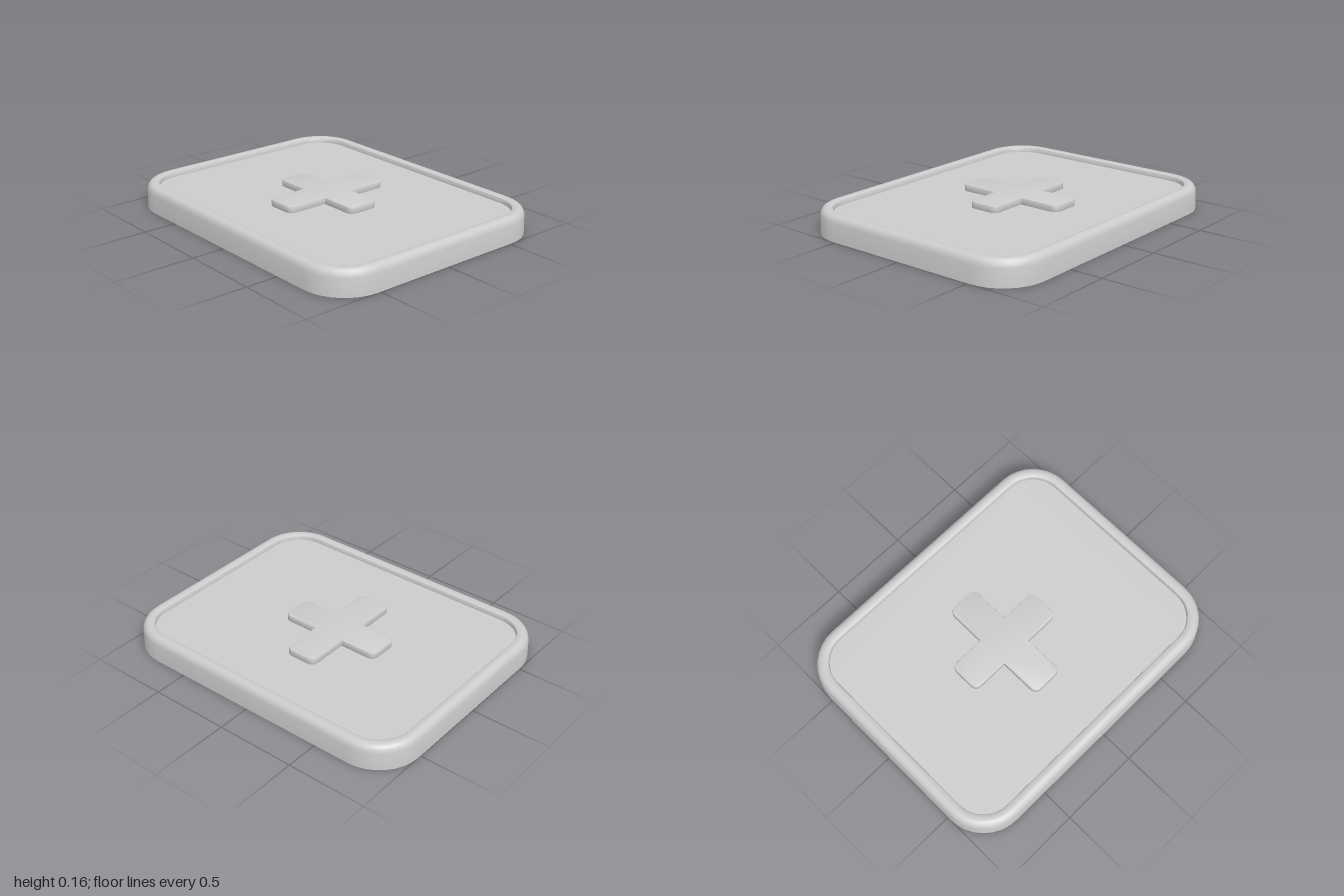
import * as THREE from 'three';
import { toCreasedNormals } from 'three/addons/utils/BufferGeometryUtils.js';

const HALF_X = 1, HALF_Z = 0.792, CORNER = 0.275, FLOOR_Y = 0.12, RIM = 0.08;

// Rounded-rectangle outline, shrunk by an inset, anticlockwise
function outline(inset, steps = 8) {
  const r = CORNER - inset, points = [];
  [[1, 1], [-1, 1], [-1, -1], [1, -1]].forEach(([sx, sy], corner) => {
    for (let i = 0; i <= steps; i++) {
      const a = (corner + i / steps) * Math.PI / 2;
      points.push(new THREE.Vector2(
        sx * (HALF_X - CORNER) + r * Math.cos(a),
        sy * (HALF_Z - CORNER) + r * Math.sin(a)));
    }
  });
  return points;
}

// Skin joining stacked outlines along an [inset, height] profile
function rimGeometry(profile) {
  const positions = [], indices = [];
  let n = 0;
  for (const [inset, y] of profile) {
    const ring = outline(inset);
    n = ring.length;
    ring.forEach(p => positions.push(p.x, y, -p.y));
  }
  for (let i = 0; i < profile.length - 1; i++) {
    for (let j = 0; j < n; j++) {
      const a = i * n + j, b = i * n + (j + 1) % n;
      indices.push(a, b, b + n, a, b + n, a + n);
    }
  }
  const geometry = new THREE.BufferGeometry();
  geometry.setAttribute('position', new THREE.Float32BufferAttribute(positions, 3));
  geometry.setIndex(indices);
  return toCreasedNormals(geometry, 0.7);
}

// Plus shape with rounded arm ends
function crossShape(halfX, halfY, w, r) {
  const shape = new THREE.Shape();
  const arms = [[1, 0, halfX], [0, 1, halfY], [-1, 0, halfX], [0, -1, halfY]];
  arms.forEach(([dx, dy, len], i) => {
    // u runs out along the arm, v runs across it
    const at = (u, v) => [dx * u - dy * v, dy * u + dx * v];
    if (i === 0) shape.moveTo(...at(w, -w));
    else shape.lineTo(...at(w, -w));
    shape.lineTo(...at(len - r, -w));
    shape.quadraticCurveTo(...at(len, -w), ...at(len, -w + r));
    shape.lineTo(...at(len, w - r));
    shape.quadraticCurveTo(...at(len, w), ...at(len - r, w));
  });
  shape.closePath();
  return shape;
}

export function createModel() {
  const group = new THREE.Group();
  const grey = new THREE.MeshStandardMaterial({ color: 0xcccccc });
  grey.name = 'light grey';
  const add = (name, geometry) => {
    const mesh = new THREE.Mesh(geometry, grey);
    mesh.name = name;
    group.add(mesh);
    return mesh;
  };

  // Outer wall, rounded lip and inner wall
  add('rim', rimGeometry([
    [0, 0], [0.003, 0.11], [0.008, 0.13], [0.018, 0.145], [0.032, 0.153],
    [0.046, 0.155], [0.062, 0.154], [0.076, 0.148], [RIM, 0.14], [RIM, FLOOR_Y],
  ]));

  // Underside and recessed floor
  add('underside', new THREE.ShapeGeometry(new THREE.Shape(outline(0))).rotateX(Math.PI / 2));
  add('floor', new THREE.ShapeGeometry(new THREE.Shape(outline(RIM))).rotateX(-Math.PI / 2))
    .position.y = FLOOR_Y;

  // Raised cross, slightly left of the middle
  const bevel = 0.006;
  const cross = new THREE.ExtrudeGeometry(crossShape(0.338 - bevel, 0.365 - bevel, 0.102 - bevel, 0.04), {
    depth: 0.16 - FLOOR_Y - bevel, curveSegments: 5,
    bevelEnabled: true, bevelSize: bevel, bevelThickness: bevel, bevelSegments: 2,
  }).rotateX(-Math.PI / 2);
  add('cross', toCreasedNormals(cross, 0.7)).position.set(-0.037, FLOOR_Y, -0.005);

  return group;
}
